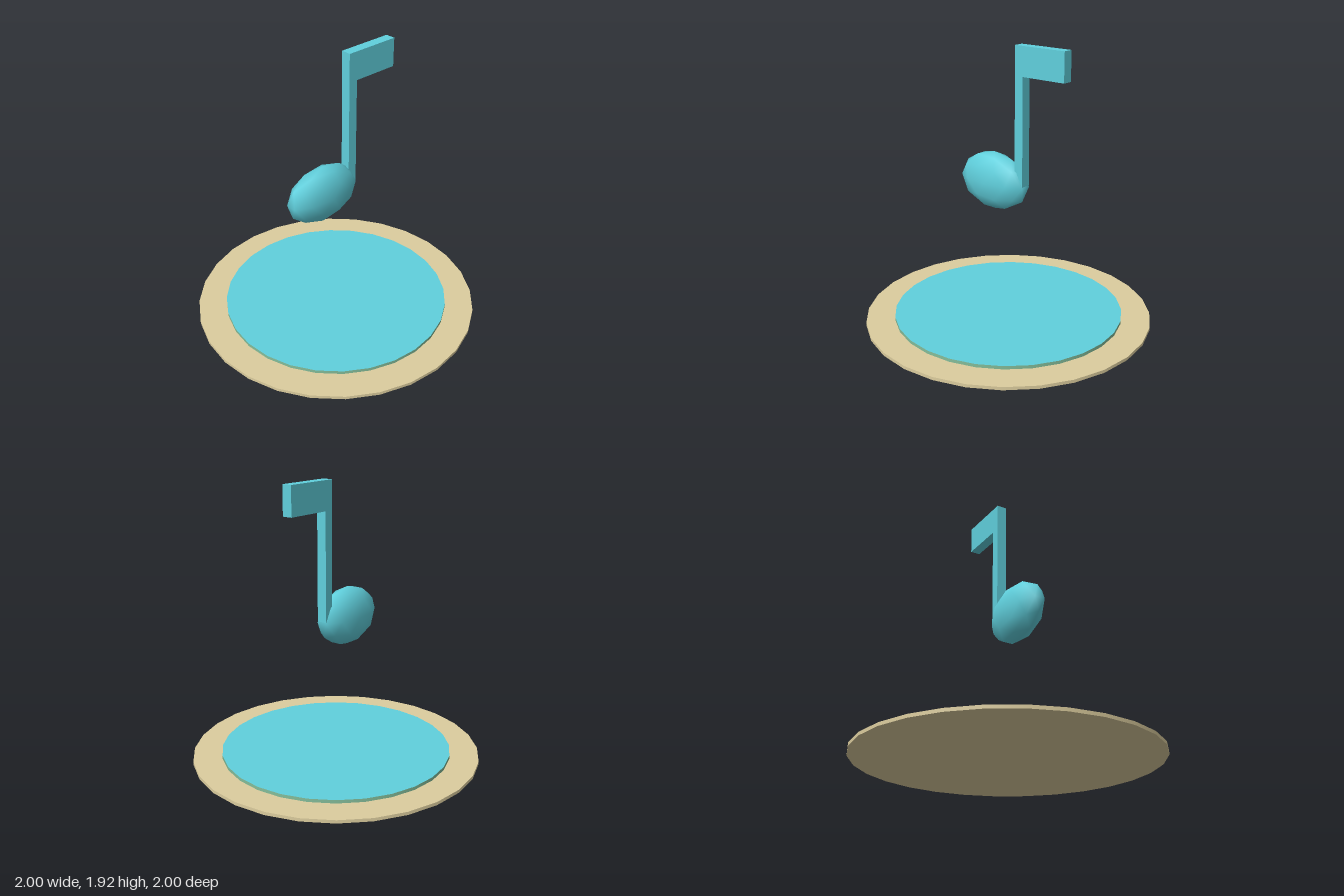
import * as THREE from 'three';

const teal = new THREE.MeshStandardMaterial({ name: 'teal', color: 0x60d0dd });
const sand = new THREE.MeshStandardMaterial({ name: 'sand', color: 0xdccd9e });
const seaGreen = new THREE.MeshStandardMaterial({ name: 'seaGreen', color: 0x84bd9a });

export function createModel() {
  const model = new THREE.Group();
  model.name = 'musicNotePad';

  const add = (name, geometry, material, x = 0, y = 0, z = 0) => {
    const mesh = new THREE.Mesh(geometry, material);
    mesh.name = name;
    mesh.position.set(x, y, z);
    model.add(mesh);
  };

  // Two stacked discs; the upper one has a greener rim
  const disc = (radius, height) => new THREE.CylinderGeometry(radius, radius, height, 28);
  add('baseDisc', disc(1, 0.022), sand, 0, 0.011);
  add('padDisc', disc(0.8, 0.023), [seaGreen, teal, teal], 0, 0.0335);

  // Note head: smooth-shaded icosphere with a corner on top, squashed to an oval
  const head = new THREE.IcosahedronGeometry(1, 1)
    .rotateX(-Math.atan((1 + Math.sqrt(5)) / 2))
    .rotateY(Math.PI / 2)
    .scale(0.287, 0.204, 0.118);
  add('noteHead', head, teal, -0.122, 0.975);

  // Stem and flag in one L-shaped slab
  const outline = new THREE.Shape([
    [0.085, 0.985], [0.15, 0.985], [0.15, 1.725],
    [0.477, 1.725], [0.477, 1.922], [0.085, 1.922],
  ].map(([x, y]) => new THREE.Vector2(x, y)));
  const slab = new THREE.ExtrudeGeometry(outline, { depth: 0.07, bevelEnabled: false });
  add('stemAndFlag', slab, teal, 0, 0, -0.035);

  return model;
}
